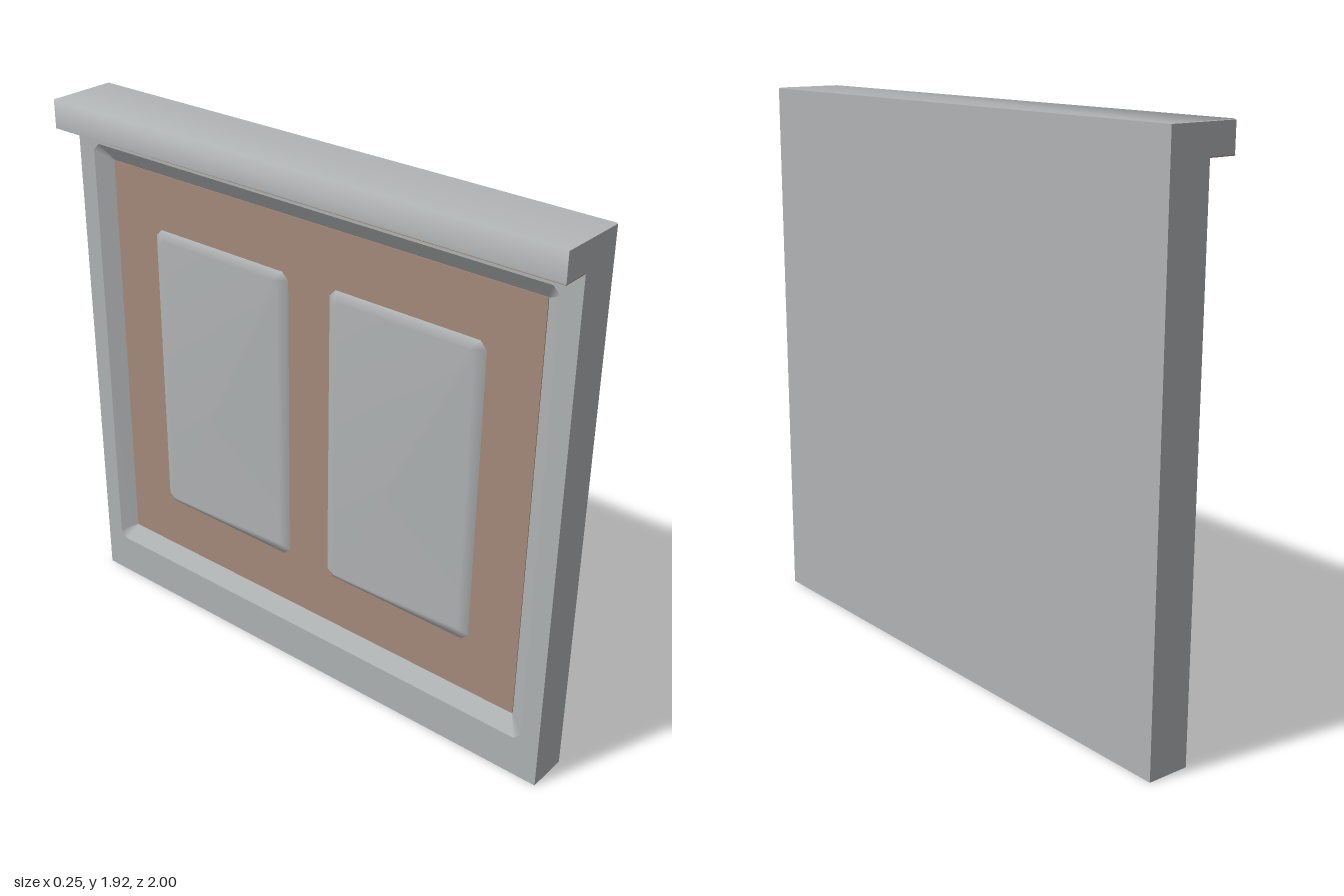
import * as THREE from 'three';

const FRONT = -0.025, BACK = 0.125, HEIGHT = 1.92, PANEL = 0.015; // x planes and height
const TOP = HEIGHT - 0.002;

// Rectangle in z and y with small cut corners, counter-clockwise seen from -x
function ring(z0, z1, y0, y1, c) {
  return [
    [z0 + c, y0], [z1 - c, y0], [z1, y0 + c], [z1, y1 - c],
    [z1 - c, y1], [z0 + c, y1], [z0, y1 - c], [z0, y0 + c],
  ];
}

// Smooth surface from an outer ring to an inner ring, optionally closed inside
function loft(outer, x0, inner, x1, cap) {
  const n = outer.length, pos = [], idx = [];
  outer.forEach(([z, y]) => pos.push(x0, y, z));
  inner.forEach(([z, y]) => pos.push(x1, y, z));
  for (let i = 0; i < n; i++) {
    const j = (i + 1) % n;
    idx.push(i, j, n + j, i, n + j, n + i);
    if (cap && i > 0 && i < n - 1) idx.push(n, n + i, n + j);
  }
  return smooth(pos, idx);
}

function smooth(pos, idx) {
  const g = new THREE.BufferGeometry();
  g.setAttribute('position', new THREE.Float32BufferAttribute(pos, 3));
  g.setIndex(idx);
  g.computeVertexNormals();
  return g;
}

export function createModel() {
  const group = new THREE.Group();
  const grey = new THREE.MeshStandardMaterial({ name: 'grey', color: 0xb0b3b4 });
  const brown = new THREE.MeshStandardMaterial({ name: 'brown', color: 0xa48a7b });

  const add = (name, geometry, material) => {
    const m = new THREE.Mesh(geometry, material);
    m.name = name;
    group.add(m);
    return m;
  };
  const box = (name, x0, x1, y0, y1, w, material) =>
    add(name, new THREE.BoxGeometry(x1 - x0, y1 - y0, w), material)
      .position.set((x0 + x1) / 2, (y0 + y1) / 2, 0);

  // Wall slab
  box('slab', PANEL, BACK, 0, TOP, 2, grey);

  // Border around the recess
  const opening = ring(-0.93, 0.93, 0.15, 1.76, 0.025);
  const toPoints = (r) => r.map(([z, y]) => new THREE.Vector2(z, y));
  const shape = new THREE.Shape(toPoints(ring(-1, 1, 0, TOP, 0)));
  shape.holes.push(new THREE.Path(toPoints(opening)));
  const frame = new THREE.ExtrudeGeometry(shape, { depth: PANEL - FRONT, bevelEnabled: false });
  frame.rotateY(Math.PI / 2).translate(FRONT, 0, 0);
  add('frame', frame, grey);

  // Sloping edge of the recess
  const inner = ring(-0.872, 0.872, 0.21, 1.7, 0.004);
  add('frameBevel', loft(opening, FRONT, inner, PANEL, false), grey);

  // Brown panel at the bottom of the recess
  box('panel', PANEL - 0.003, PANEL + 0.003, 0.21, 1.7, 1.744, brown);

  // Two raised, softly shaded pads
  for (const s of [-1, 1]) {
    const z = s * 0.384, w = 0.298, b = 0.03;
    const base = ring(z - w, z + w, 0.41, 1.5, 0.025);
    const face = ring(z - w + b, z + w - b, 0.41 + b, 1.5 - b, 0.02);
    add(s < 0 ? 'padBack' : 'padFront', loft(base, PANEL - 0.003, face, PANEL - 0.026, true), grey);
  }

  // Overhanging ledge with a brown underside
  box('ledge', -0.123, FRONT, 1.823, TOP, 2, grey);
  box('ledgeUnderside', -0.125, FRONT, 1.82, 1.823, 2, brown);

  // Top and ledge face shaded as one smooth surface
  const pos = [];
  for (const [x, y] of [[BACK, HEIGHT], [-0.125, HEIGHT], [-0.125, 1.82]]) {
    pos.push(x, y, -1, x, y, 1);
  }
  add('ledgeCover', smooth(pos, [0, 2, 3, 0, 3, 1, 2, 4, 5, 2, 5, 3]), grey);

  return group;
}
